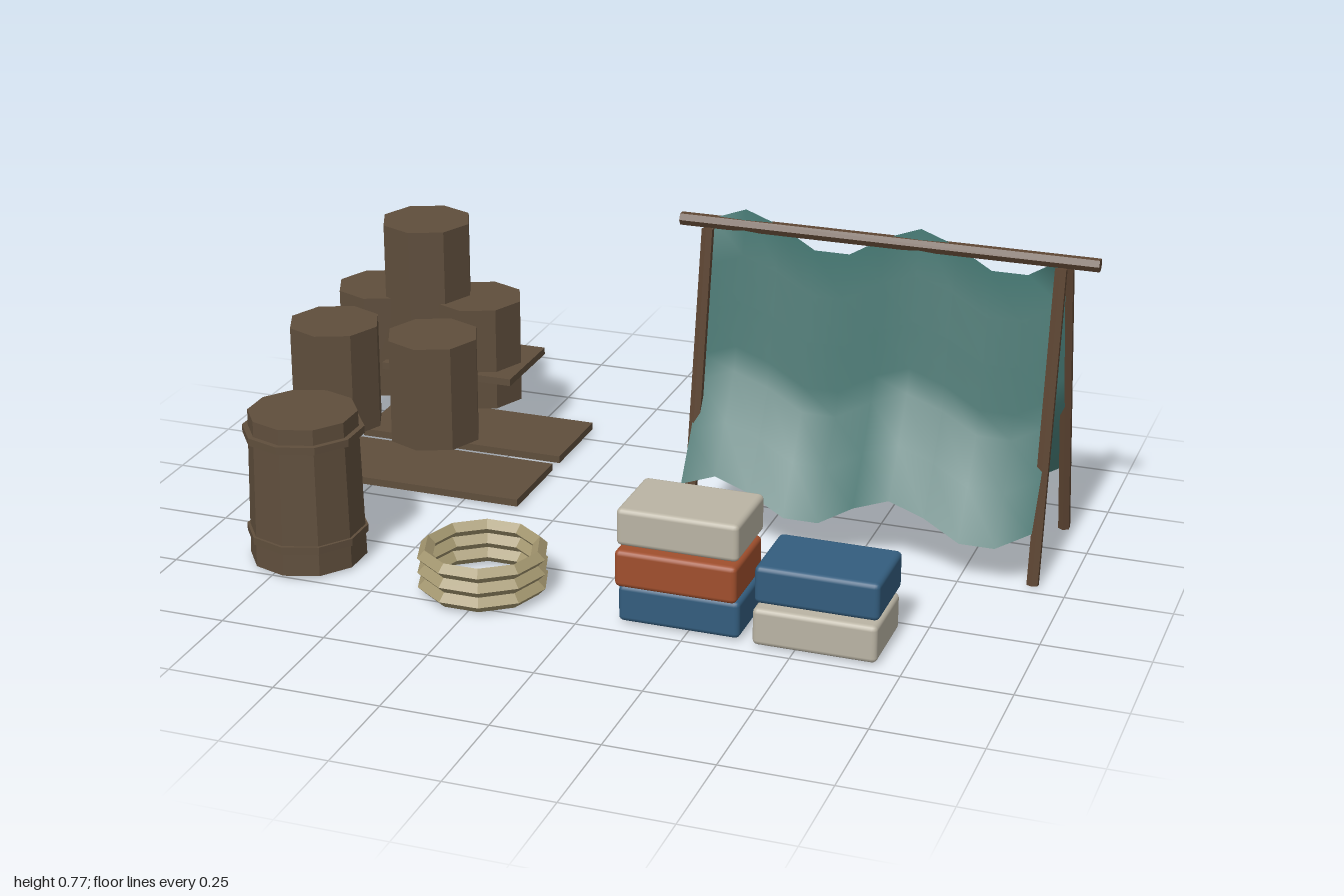
import * as THREE from 'three';
import { RoundedBoxGeometry } from 'three/addons/geometries/RoundedBoxGeometry.js';

const mat = (name, color, opts = {}) => {
  const m = new THREE.MeshStandardMaterial({ color, ...opts });
  m.name = name;
  return m;
};

export function createModel() {
  const root = new THREE.Group();
  root.name = 'marketCamp';
  const wood = mat('barrel brown', 0x5f4e3c, { flatShading: true });
  const pole = mat('pole brown', 0x5e4633, { flatShading: true });
  const cloth = mat('teal cloth', 0x41716c, { side: THREE.DoubleSide });
  const rope = mat('rope tan', 0xa3966f, { flatShading: true });
  const beige = mat('beige', 0xbab4a4);
  const blue = mat('blue', 0x335d7e);
  const rust = mat('rust', 0xa04f2d);

  const add = (name, geo, material, x, y, z, parent = root) => {
    const m = new THREE.Mesh(geo, material);
    m.name = name;
    m.position.set(x, y, z);
    parent.add(m);
    return m;
  };

  // Straight round pole between two points
  const addPole = (name, a, b, r, parent) => {
    const dir = b.clone().sub(a);
    const mid = a.clone().add(b).multiplyScalar(0.5);
    const m = add(name, new THREE.CylinderGeometry(r, r, dir.length(), 6), pole, mid.x, mid.y, mid.z, parent);
    m.quaternion.setFromUnitVectors(new THREE.Vector3(0, 1, 0), dir.normalize());
  };

  // Tent frame: ridge pole and four splayed legs
  const tent = new THREE.Group();
  tent.name = 'tent';
  root.add(tent);
  const ridgeZ = -0.205;
  const V = (x, y, z) => new THREE.Vector3(x, y, z);
  addPole('ridgePole', V(0.004, 0.733, ridgeZ), V(1, 0.733, ridgeZ), 0.016, tent);
  for (const x of [0.083, 0.919]) {
    for (const s of [1, -1]) {
      addPole('tentLeg', V(x, 0.003, ridgeZ + s * 0.17), V(x, 0.728, ridgeZ + s * 0.038), 0.015, tent);
    }
  }

  // Draped cloth: one cross-section swept along x, rising and falling in waves
  const half = [[0.215, 0.137], [0.145, 0.245], [0.08, 0.35], [0.066, 0.41], [0.044, 0.515], [0.022, 0.62]];
  const section = [...half, [0, 0.727], ...half.map(([z, y]) => [-z, y]).reverse()];
  const clothGeo = new THREE.PlaneGeometry(1, 1, 10, section.length - 1);
  const p = clothGeo.attributes.position;
  for (let i = 0; i < p.count; i++) {
    const [z, y] = section[Math.floor(i / 11)];
    const x = 0.08 + 0.084 * (i % 11);
    const wave = 0.045 * Math.cos((2 * Math.PI * (x - 0.164)) / 0.42);
    p.setXYZ(i, x, y + wave, ridgeZ + z);
  }
  // The sweep runs front to back, so reverse each face to point outward
  const idx = clothGeo.index;
  for (let i = 0; i < idx.count; i += 3) {
    const t = idx.getX(i);
    idx.setX(i, idx.getX(i + 1));
    idx.setX(i + 1, t);
  }
  clothGeo.computeVertexNormals();
  add('tentCloth', clothGeo, cloth, 0, 0, 0, tent);

  // Boards under the kegs, plus a raised shelf board
  add('groundBoard', new THREE.BoxGeometry(0.54, 0.018, 0.235), wood, -0.627, 0.015, -0.154);
  add('groundBoard', new THREE.BoxGeometry(0.54, 0.018, 0.235), wood, -0.627, 0.015, -0.437);
  add('shelfBoard', new THREE.BoxGeometry(0.35, 0.018, 0.235), wood, -0.662, 0.206, -0.437);

  // Eight-sided kegs, four below and one on top
  const kegGeo = new THREE.CylinderGeometry(0.115, 0.115, 0.264, 8);
  for (const [x, y, z] of [
    [-0.885, 0.248, -0.152], [-0.62, 0.248, -0.152],
    [-0.885, 0.248, -0.437], [-0.62, 0.248, -0.437], [-0.756, 0.438, -0.437],
  ]) add('keg', kegGeo, wood, x, y, z);

  // Large barrel with two hoops
  add('largeBarrel', new THREE.CylinderGeometry(0.128, 0.137, 0.361, 10), wood, -0.72, 0.186, 0.367);
  for (const y of [0.32, 0.071]) {
    add('barrelHoop', new THREE.CylinderGeometry(0.142, 0.142, 0.018, 10), wood, -0.72, y, 0.367);
  }

  // Coil of rope: three diamond-section rings
  const ringGeo = new THREE.TorusGeometry(0.135, 0.018, 4, 10).rotateX(-Math.PI / 2);
  for (const y of [0.024, 0.06, 0.096]) add('ropeRing', ringGeo, rope, -0.263, y, 0.4);

  // Stacked cloth bales
  const baleGeo = new RoundedBoxGeometry(0.284, 0.089, 0.192, 2, 0.012);
  for (const [name, m, x, y, z] of [
    ['blueBale', blue, 0.23, 0.05, 0.367],
    ['rustBale', rust, 0.23, 0.146, 0.393],
    ['beigeBale', beige, 0.23, 0.241, 0.38],
    ['beigeBale', beige, 0.547, 0.05, 0.38],
    ['blueBale', blue, 0.547, 0.146, 0.368],
  ]) add(name, baleGeo, m, x, y, z);

  return root;
}
